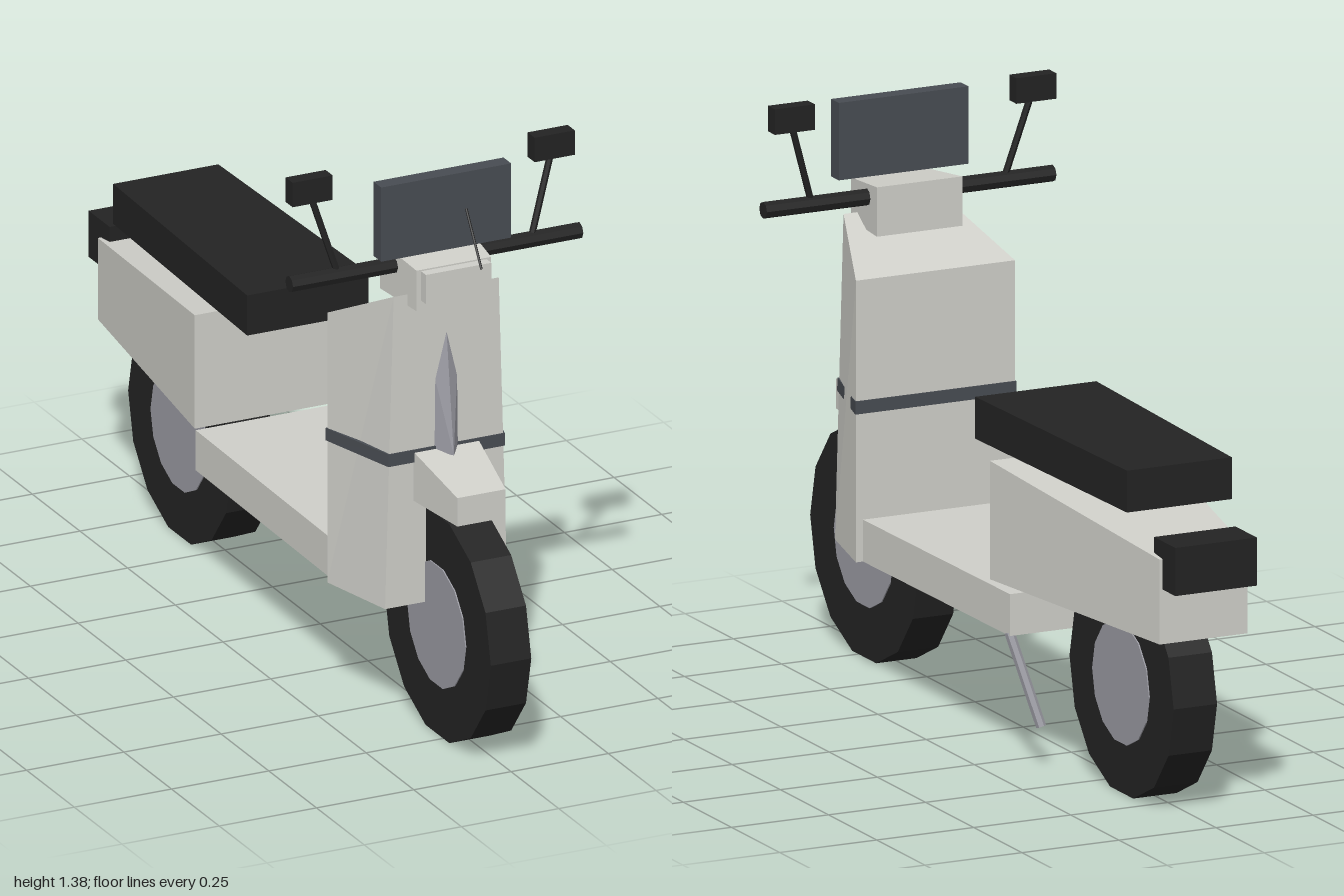
import * as THREE from 'three';

const mat = (name, color) => {
  const m = new THREE.MeshStandardMaterial({ color, flatShading: true });
  m.name = name;
  return m;
};

export function createModel() {
  const group = new THREE.Group();
  const body = mat('ivory body', 0xcfcfc9);
  const black = mat('black rubber', 0x232323);
  const slate = mat('slate', 0x484c52);
  const metal = mat('grey metal', 0x9b9ba3);

  const add = (name, geometry, material) => {
    const mesh = new THREE.Mesh(geometry, material);
    mesh.name = name;
    group.add(mesh);
    return mesh;
  };
  const box = (name, material, w, h, d, x, y, z) =>
    add(name, new THREE.BoxGeometry(w, h, d).translate(x, y, z), material);

  // Box whose corners are placed by a rule: (top, front) -> [halfWidth, y, z]
  const block = (name, material, rule) => {
    const g = new THREE.BoxGeometry(2, 2, 2).toNonIndexed();
    const p = g.attributes.position;
    for (let i = 0; i < p.count; i++) {
      const [w, y, z] = rule(p.getY(i) > 0, p.getZ(i) > 0);
      p.setXYZ(i, Math.sign(p.getX(i)) * w, y, z);
    }
    g.computeVertexNormals();
    return add(name, g, material);
  };

  // Round bar between two points
  const rod = (name, material, a, b, r, sides = 6) => {
    const from = new THREE.Vector3(...a), to = new THREE.Vector3(...b);
    const dir = to.clone().sub(from);
    const mesh = add(name, new THREE.CylinderGeometry(r, r, dir.length(), sides), material);
    mesh.position.copy(from).add(to).multiplyScalar(0.5);
    mesh.quaternion.setFromUnitVectors(new THREE.Vector3(0, 1, 0), dir.normalize());
  };

  // Wheels: tyre with an almost flush hub
  const disc = (name, material, r, width, y, z) =>
    add(name, new THREE.CylinderGeometry(r, r, width, 14).rotateZ(Math.PI / 2).translate(0, y, z), material);
  for (const [side, r, hub, w, y, z] of [
    ['front', 0.28, 0.152, 0.104, 0.275, 0.72],
    ['rear', 0.27, 0.147, 0.112, 0.265, -0.623],
  ]) {
    disc(side + 'Tyre', black, r, w, y, z);
    disc(side + 'Hub', metal, hub, w + 0.006, y, z);
  }

  // Leg shield and the stripe running around it
  const frontHalf = y => 0.157 - 0.022 * (y - 0.31) / 0.775;
  block('legShield', body, (top, front) => {
    const y = top ? (front ? 1.085 : 0.983) : 0.31;
    return [front ? frontHalf(y) : 0.205, y, front ? 0.66 : 0.455];
  });
  block('shieldStripe', slate, (top, front) => {
    const y = top ? 0.695 : 0.664;
    return [(front ? frontHalf(y) : 0.205) + 0.003, y, front ? 0.663 : 0.452];
  });

  // Floorboard, rear body, seat and tail box
  block('floorboard', body, (top, front) =>
    [front ? 0.187 : 0.178, top ? 0.41 : 0.31, front ? 0.46 : -0.29]);
  block('rearBody', body, (top, front) =>
    [front ? 0.205 : 0.113, top ? (front ? 0.72 : 0.64) : 0.437, front ? -0.24 : -0.935]);
  block('seat', black, (top, front) =>
    [front ? 0.156 : 0.135, top ? 0.825 : 0.725, front ? 0.065 * -1 : -0.81]);
  box('tailBox', black, 0.21, 0.115, 0.11, 0, 0.625, -0.945);

  // Front fender and fork
  block('frontFender', body, (top, front) =>
    [front ? 0.062 : 0.084, top ? (front ? 0.638 : 0.69) : 0.567, front ? 0.845 : 0.655]);
  box('fork', metal, 0.056, 0.2, 0.055, 0, 0.48, 0.69);

  // Pointed crest on the leg shield: left and right facets around a ridge
  const crest = new THREE.BufferGeometry();
  const ridge = [0, 0.68, 0.7], tip = [0, 0.975, 0.662];
  const facets = [];
  for (const s of [1, -1]) {
    const low = [s * 0.03, 0.68, 0.66], mid = [s * 0.028, 0.86, 0.66];
    const tris = [[ridge, low, mid], [ridge, mid, tip]];
    for (const t of tris) facets.push(...(s > 0 ? t : [...t].reverse()).flat());
  }
  facets.push(...ridge, -0.03, 0.68, 0.66, 0.03, 0.68, 0.66);
  crest.setAttribute('position', new THREE.Float32BufferAttribute(facets, 3));
  crest.computeVertexNormals();
  add('crest', crest, metal);

  // Handlebar housing, headlight, windscreen and aerial
  block('handlebarHousing', body, (top, front) =>
    [front ? 0.096 : 0.11, top ? (front ? 1.158 : 1.175) : 1.057, front ? 0.7 : 0.537]);
  box('headlight', body, 0.168, 0.073, 0.04, 0, 1.118, 0.705);
  box('windscreen', slate, 0.334, 0.185, 0.04, 0, 1.271, 0.64);
  rod('aerial', black, [0, 1.198, 0.845], [0, 1.32, 0.765], 0.003);

  // Handlebar and mirrors
  rod('handlebar', black, [-0.373, 1.137, 0.598], [0.373, 1.137, 0.598], 0.02, 8);
  for (const s of [1, -1]) {
    rod('mirrorStem', black, [s * 0.25, 1.145, 0.598], [s * 0.308, 1.335, 0.58], 0.008);
    box('mirror', black, 0.103, 0.061, 0.037, s * 0.311, 1.356, 0.576);
  }

  // Kickstand on the left
  rod('kickstand', metal, [0.172, 0.315, -0.275], [0.124, 0.1, -0.343], 0.012);

  return group;
}
